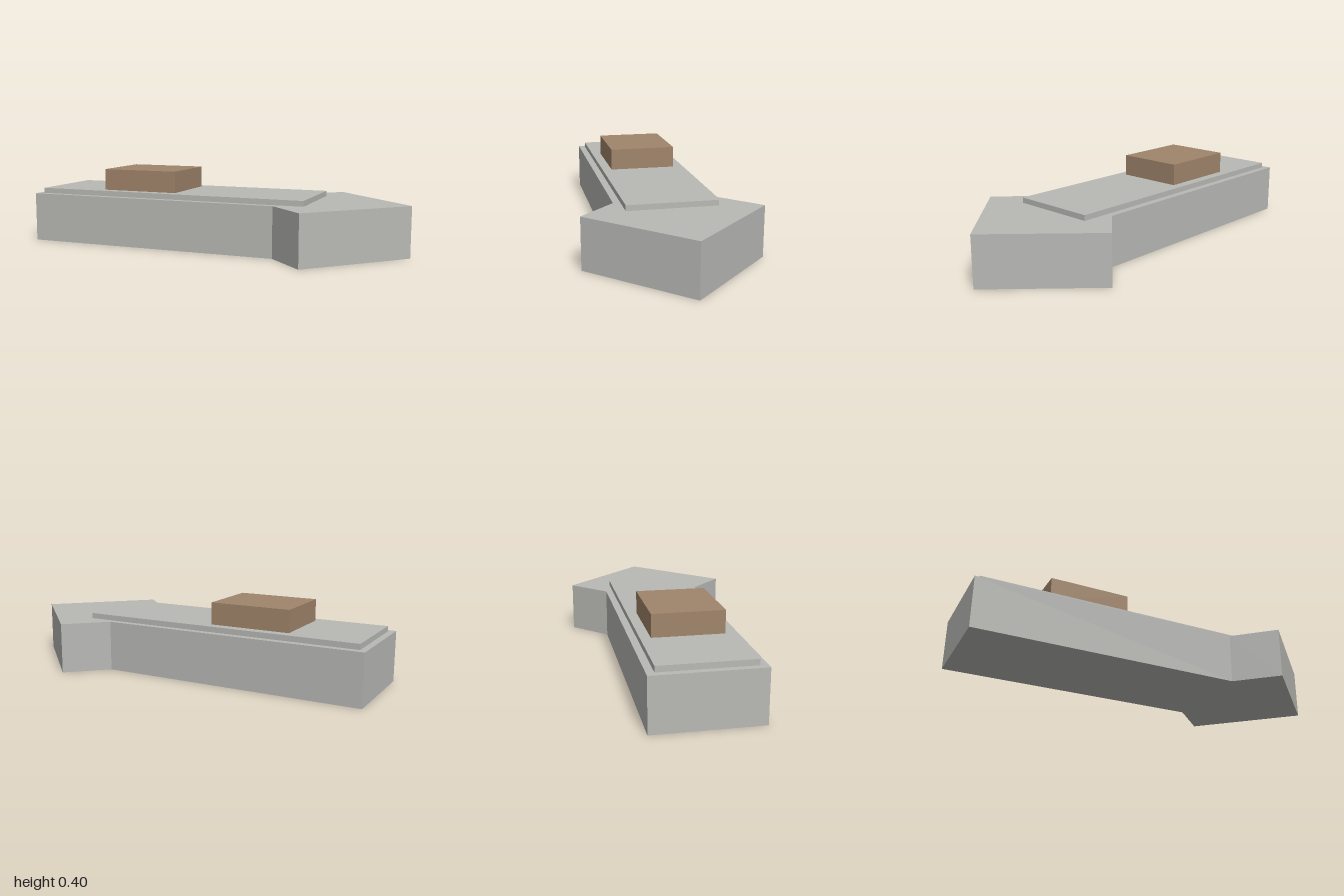
import * as THREE from 'three';

export function createModel() {
  const model = new THREE.Group();
  model.name = 'arrowBlock';

  const stone = new THREE.MeshStandardMaterial({ color: 0xb8b8b5 });
  stone.name = 'stone grey';
  const wood = new THREE.MeshStandardMaterial({ color: 0xa0856b });
  wood.name = 'wood brown';

  function add(name, geometry, material) {
    const mesh = new THREE.Mesh(geometry, material);
    mesh.name = name;
    model.add(mesh);
    return mesh;
  }

  // Box given by its x and y ranges and its half depth
  function slab(name, x0, x1, y0, y1, halfDepth, material) {
    const mesh = add(name, new THREE.BoxGeometry(x1 - x0, y1 - y0, halfDepth * 2), material);
    mesh.position.set((x0 + x1) / 2, (y0 + y1) / 2, 0);
  }

  // Arrow-shaped base: half outline mirrored across the long axis
  const half = [[-1, 0.26], [0.375, 0.26], [0.56, 0.44]];
  const outline = [
    ...half.map(([x, z]) => new THREE.Vector2(x, z)),
    new THREE.Vector2(1, 0),
    ...half.map(([x, z]) => new THREE.Vector2(x, -z)).reverse(),
  ];
  const base = new THREE.ExtrudeGeometry(new THREE.Shape(outline), { depth: 0.26, bevelEnabled: false });
  base.rotateX(-Math.PI / 2);
  add('arrowBase', base, stone);

  // Raised deck plate and the block standing on it
  slab('deckPlate', -0.967, 0.52, 0.26, 0.288, 0.224, stone);
  slab('topBlock', -0.605, -0.188, 0.288, 0.4, 0.174, wood);

  return model;
}
